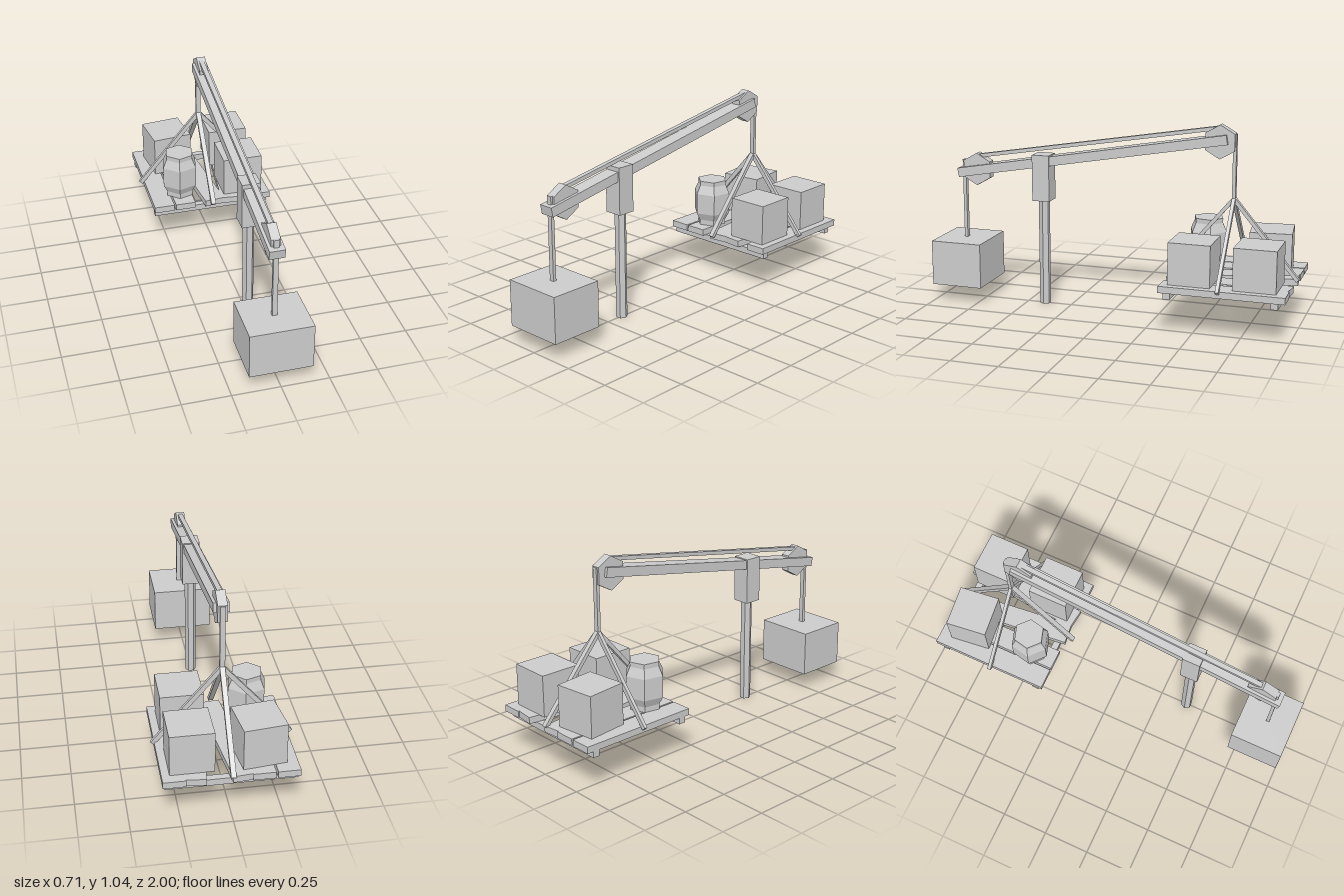
import * as THREE from 'three';

const material = new THREE.MeshStandardMaterial({ color: 0xcccccc, flatShading: true });

export function createModel() {
  const model = new THREE.Group();
  model.name = 'cargoCrane';

  function add(name, geometry, x, y, z, turn = 0, parent = model) {
    const mesh = new THREE.Mesh(geometry, material);
    mesh.name = name;
    mesh.position.set(x, y, z);
    mesh.rotation.y = turn;
    parent.add(mesh);
    return mesh;
  }
  const box = (w, h, d) => new THREE.BoxGeometry(w, h, d);

  // Square bar running from a to b
  function bar(name, a, b, width, thickness) {
    const start = new THREE.Vector3(...a), end = new THREE.Vector3(...b);
    const mid = start.clone().add(end).multiplyScalar(0.5);
    const mesh = add(name, box(width, thickness, start.distanceTo(end)), mid.x, mid.y, mid.z);
    mesh.lookAt(end);
  }

  // Post with sleeve, and the sloping boom through it
  add('post', new THREE.CylinderGeometry(0.03, 0.03, 0.62, 6), 0, 0.31, 0.4, Math.PI / 2);
  add('sleeve', box(0.096, 0.25, 0.096), 0, 0.705, 0.402);
  bar('boom', [0, 0.705, 0.888], [0, 0.968, -0.609], 0.08, 0.05);

  // Six-sided pulley blocks at both ends
  const pulley = new THREE.CylinderGeometry(0.089, 0.089, 0.048, 6);
  pulley.rotateY(Math.PI / 2).rotateZ(Math.PI / 2);
  add('frontPulley', pulley, 0, 0.728, 0.783);
  add('backPulley', pulley, 0, 0.953, -0.57);

  // Ropes
  bar('topRope', [0, 0.798, 0.785], [0, 1.026, -0.58], 0.026, 0.02);
  bar('counterweightRope', [0, 0.33, 0.862], [0, 0.775, 0.862], 0.026, 0.018);
  bar('palletRope', [0, 0.65, -0.645], [0, 0.995, -0.645], 0.026, 0.018);

  add('counterweight', box(0.326, 0.245, 0.285), 0, 0.2175, 0.8575);

  // Four sling lines spreading from the rope to the pallet edges
  for (const s of [-1, 1]) {
    bar('sideSling', [0, 0.66, -0.645], [s * 0.347, 0.252, -0.645], 0.018, 0.024);
    bar('endSling', [0, 0.66, -0.645], [0, 0.252, -0.645 + s * 0.343], 0.026, 0.02);
  }

  // Pallet: five planks, two of them askew, on two runners
  const pallet = new THREE.Group();
  pallet.name = 'pallet';
  model.add(pallet);
  for (const [x, turn] of [[-0.273, 0], [-0.152, 0], [-0.018, 0.11], [0.147, -0.115], [0.283, 0]]) {
    add('plank', box(0.112, 0.035, 0.648), x, 0.2425, -0.661, turn, pallet);
  }
  for (const z of [-0.38, -0.93]) add('runner', box(0.65, 0.035, 0.036), 0, 0.2075, z, 0, pallet);

  // Cargo
  for (const [x, z, turn] of [[0.19, -0.487, 0], [0.19, -0.822, 0], [-0.152, -0.82, 0.12]]) {
    add('crate', box(0.22, 0.22, 0.22), x, 0.37, z, turn);
  }
  const profile = [[0, 0.26], [0.083, 0.26], [0.083, 0.288], [0.105, 0.33],
    [0.105, 0.445], [0.083, 0.492], [0.083, 0.517], [0, 0.517]];
  const barrel = new THREE.LatheGeometry(profile.map(p => new THREE.Vector2(...p)), 6);
  add('barrel', barrel, -0.154, 0, -0.477, -0.2);

  return model;
}
